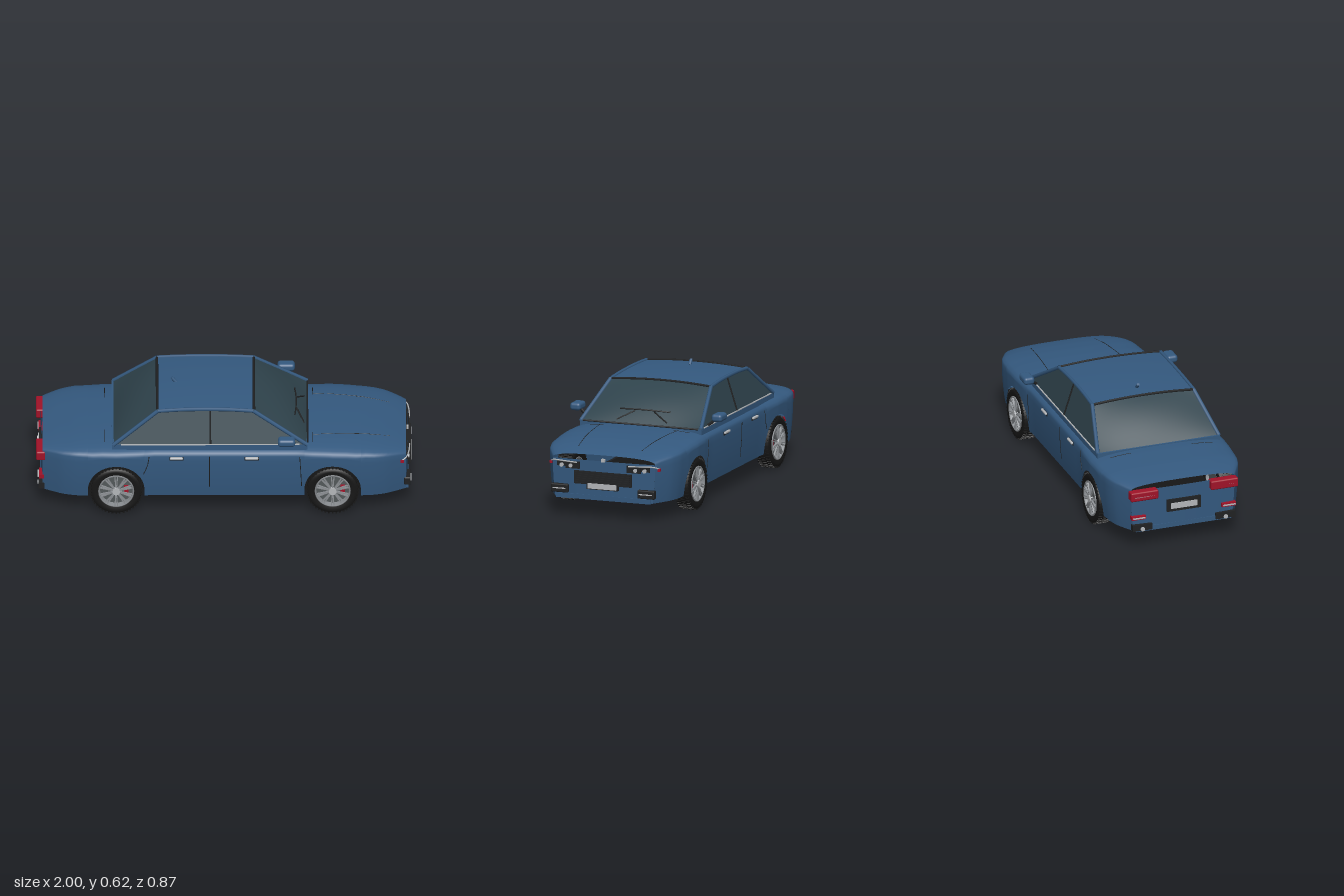
import * as THREE from 'three';
import { mergeGeometries } from 'three/addons/utils/BufferGeometryUtils.js';
import { RoundedBoxGeometry } from 'three/addons/geometries/RoundedBoxGeometry.js';

const mat = (name, color, double) => {
  const m = new THREE.MeshStandardMaterial({ color });
  m.name = name;
  if (double) m.side = THREE.DoubleSide;
  return m;
};
const paint = mat('blue paint', 0x34597f, true);
const glass = mat('tinted glass', 0x2f434c, true);
const rubber = mat('black rubber', 0x161616);
const trim = mat('dark trim', 0x202122);
const chrome = mat('chrome', 0xb4b7ba);
const alloy = mat('alloy', 0x8b8f93);
const disc = mat('brake disc', 0x53585a);
const red = mat('red lamp', 0xa01228);

// Piecewise linear lookup in [x, value] pairs
function lookup(table, x) {
  for (let i = 1; i < table.length; i++) {
    const [x0, a] = table[i - 1], [x1, b] = table[i];
    if (x <= x1) return a + (b - a) * Math.max(0, (x - x0) / (x1 - x0));
  }
  return table[table.length - 1][1];
}

// Surface from a rule p(u, v), with u and v from 0 to 1
function grid(p, nu, nv) {
  const pos = [], idx = [];
  for (let i = 0; i <= nu; i++) for (let j = 0; j <= nv; j++) pos.push(...p(i / nu, j / nv));
  for (let i = 0; i < nu; i++) for (let j = 0; j < nv; j++) {
    const a = i * (nv + 1) + j, b = a + nv + 1;
    idx.push(a, b, a + 1, b, b + 1, a + 1);
  }
  const g = new THREE.BufferGeometry();
  g.setAttribute('position', new THREE.Float32BufferAttribute(pos, 3));
  g.setIndex(idx);
  g.computeVertexNormals();
  return g;
}

// Body shape rules: width, height, rounded shoulder
const widthAt = x => lookup([[0, 0.37], [0.38, 0.37], [0.46, 0.378], [0.575, 0.384], [0.7, 0.38],
  [0.8, 0.37], [0.86, 0.353], [0.92, 0.32], [0.965, 0.293]], Math.abs(x));
const topAt = x => lookup([[-0.965, 0.365], [-0.9, 0.378], [-0.8, 0.391], [-0.65, 0.4], [0.55, 0.4],
  [0.65, 0.396], [0.75, 0.387], [0.85, 0.371], [0.93, 0.352], [0.965, 0.34]], x);
const dropAt = x => lookup([[0, 0.055], [0.7, 0.055], [0.965, 0.03]], Math.abs(x));
const shoulderAt = x => topAt(x) - dropAt(x);
const sideZ = (x, y) => {
  const s = shoulderAt(x);
  return widthAt(x) * (1 - 0.05 * Math.max(0, (s - y) / (s - 0.1)) ** 2);
};
const topY = (x, z) => shoulderAt(x) + dropAt(x) * (1 - Math.abs(z / widthAt(x)) ** 2.6) ** (1 / 2.6);
const ARCH = 0.15, AXLE = 0.575, HUB = 0.14, FLOOR = 0.1;

function stations() {
  const list = [];
  const plain = (a, b, n) => { for (let i = 0; i <= n; i++) list.push([a + (b - a) * i / n, FLOOR]); };
  const arch = c => {
    for (let i = 0; i <= 24; i++) {
      const t = Math.PI * i / 24;
      list.push([c - ARCH * Math.cos(t), HUB + ARCH * Math.sin(t)]);
    }
  };
  plain(-0.965, -AXLE - ARCH, 10);
  arch(-AXLE);
  plain(-AXLE + ARCH, AXLE - ARCH, 16);
  arch(AXLE);
  plain(AXLE + ARCH, 0.965, 10);
  return list;
}

export function createModel() {
  const car = new THREE.Group();
  car.name = 'sedan';
  const add = (name, geo, material, x = 0, y = 0, z = 0, parent = car) => {
    const m = new THREE.Mesh(geo, material);
    m.name = name;
    m.position.set(x, y, z);
    parent.add(m);
    return m;
  };
  const box = (name, material, x, y, z, sx, sy, sz) => add(name, new THREE.BoxGeometry(sx, sy, sz), material, x, y, z);
  const tube = (name, material, pts, r) => add(name, new THREE.TubeGeometry(
    new THREE.CatmullRomCurve3(pts.map(p => new THREE.Vector3(...p))), 16, r, 6), material);

  // Body shell with open wheel arches
  const st = stations();
  add('bodyShell', grid((u, v) => {
    const [x, bot] = st[Math.round(u * (st.length - 1))];
    const t = v * 2 - 1, a = Math.abs(t), s = Math.sign(t), sh = shoulderAt(x);
    if (a > 0.5) {
      const y = bot + (sh - bot) * (1 - a) * 2;
      return [x, y, s * sideZ(x, y)];
    }
    const z = s * widthAt(x) * Math.sin(a * Math.PI) ** (2 / 2.6);
    return [x, sh + dropAt(x) * Math.max(0, Math.cos(a * Math.PI)) ** (2 / 2.6), z];
  }, st.length - 1, 32), paint);

  // Nose and tail panels, slightly bowed
  for (const s of [1, -1]) add(s > 0 ? 'nosePanel' : 'tailPanel', grid((u, v) => {
    const k = u * 2 - 1, y = FLOOR + v * (shoulderAt(s * 0.965) - FLOOR);
    return [s * (0.965 + 0.012 * (1 - k * k)), y, k * sideZ(s * 0.965, y)];
  }, 12, 4), paint);
  box('floor', rubber, 0, 0.112, 0, 1.74, 0.028, 0.58);
  box('beltBase', paint, -0.078, 0.382, 0, 1.04, 0.044, 0.694);

  // Cabin: roof, front and rear glass
  add('roof', grid((u, v) => {
    const x = -0.355 + 0.51 * u, k = v * 2 - 1, s = (x + 0.1) / 0.255;
    return [x, 0.577 + 0.009 * (1 - s * s) + 0.013 * (1 - k * k), k * 0.287];
  }, 12, 12), paint);
  const screen = (xb, xt, bulge) => grid((u, v) => {
    const k = u * 2 - 1, b = bulge * 4 * v * (1 - v) * (1 - k * k);
    return [xb + (xt - xb) * v + Math.sign(xb) * b * 0.5,
      0.402 + 0.175 * v + 0.013 * v * (1 - k * k) + b * 0.86, k * (0.342 - 0.055 * v)];
  }, 12, 8);
  add('windshield', screen(0.44, 0.155, 0.026), glass);
  add('rearWindow', screen(-0.59, -0.355, 0.018), glass);
  for (const x of [0.157, -0.357]) tube('roofEdgeTrim', trim,
    [-0.28, -0.14, 0, 0.14, 0.28].map(z => [x, 0.578 + 0.013 * (1 - (z / 0.287) ** 2), z]), 0.007);
  tube('windshieldBaseTrim', trim, [[0.442, 0.404, -0.33], [0.442, 0.404, 0], [0.442, 0.404, 0.33]], 0.005);

  // Wipers
  for (const s of [1, -1]) {
    tube('wiperBlade', trim, [[0.383, 0.474, 0], [0.38, 0.472, s * 0.08], [0.374, 0.469, s * 0.145]], 0.004);
    tube('wiperArm', trim, [[0.383, 0.466, s * 0.055], [0.405, 0.443, s * 0.1], [0.425, 0.42, s * 0.145]], 0.004);
  }

  const sideTop = [[-0.59, 0.402], [-0.355, 0.577], [-0.23, 0.584], [-0.1, 0.586], [0.03, 0.584], [0.155, 0.577], [0.44, 0.402]];
  const cabinZ = y => 0.343 - (y - 0.402) * 0.32;
  for (const s of [1, -1]) {
    // Side glass and pillars
    add('sideWindows', grid((u, v) => {
      const x = -0.59 + 1.03 * u, y = 0.402 + (lookup(sideTop, x) - 0.402) * v;
      return [x, y, s * cabinZ(y)];
    }, 60, 2), glass);
    const rail = (a, b) => sideTop.slice(a, b).map(([x, y]) => [x, y, s * cabinZ(y)]);
    tube('rearPillar', paint, rail(0, 2), 0.011);
    tube('roofRail', paint, rail(1, 6), 0.01);
    tube('frontPillar', paint, rail(5, 7), 0.011);
    tube('centrePillar', trim, [[-0.075, 0.405, s * 0.344], [-0.075, 0.58, s * 0.288]], 0.005);
    box('beltStrip', chrome, -0.075, 0.406, s * 0.347, 0.95, 0.005, 0.006);

    // Door seams and handles
    const seam = pts => tube('doorSeam', trim, pts.map(([x, y]) => [x, y, s * sideZ(x, y)]), 0.0022);
    seam([[-0.08, 0.345], [-0.08, 0.25], [-0.08, 0.155]]);
    seam([[-0.4, 0.345], [-0.41, 0.29], [-0.43, 0.24]]);
    seam([[0.4, 0.345], [0.405, 0.26], [0.41, 0.16]]);
    for (const x of [-0.255, 0.145]) {
      add('doorHandle', new RoundedBoxGeometry(0.07, 0.013, 0.014, 2, 0.005), chrome, x, 0.337, s * 0.376);
      box('handleRecess', trim, x, 0.333, s * 0.37, 0.076, 0.02, 0.005);
    }

    // Hood and trunk seams
    const deck = pts => tube('deckSeam', trim, pts.map(([x, z]) => [x, topY(x, z), s * z]), 0.0018);
    deck([[0.47, 0.22], [0.6, 0.209], [0.75, 0.195], [0.88, 0.18]]);
    deck([[0.47, 0.2], [0.47, 0.25], [0.47, 0.29]]);
    deck([[-0.635, 0.17], [-0.635, 0.23], [-0.635, 0.29]]);

    // Door mirror
    add('mirror', new RoundedBoxGeometry(0.092, 0.042, 0.06, 4, 0.016), paint, 0.33, 0.456, s * 0.405);
    tube('mirrorArm', trim, [[0.345, 0.41, s * 0.345], [0.342, 0.422, s * 0.362], [0.338, 0.442, s * 0.385]], 0.008);

    // Headlight cluster
    box('headlightHousing', trim, 0.97, 0.279, s * 0.175, 0.022, 0.038, 0.08);
    box('headlightOuter', trim, 0.963, 0.283, s * 0.235, 0.024, 0.028, 0.06);
    for (const z of [0.185, 0.237]) {
      const lamp = add('headlamp', new THREE.CylinderGeometry(0.011, 0.011, 0.012, 20), chrome, 0.978, 0.275, s * z);
      lamp.rotation.z = Math.PI / 2;
    }
    tube('headlightStrip', chrome, [[0.984, 0.294, s * 0.145], [0.98, 0.298, s * 0.23], [0.967, 0.297, s * 0.29], [0.945, 0.285, s * 0.31]], 0.004);
    box('sideMarker', red, 0.945, 0.281, s * 0.308, 0.02, 0.014, 0.014);

    // Fog lamp pods
    add('fogPod', new RoundedBoxGeometry(0.035, 0.046, 0.097, 2, 0.006), trim, 0.972, 0.149, s * 0.247);
    box('fogStrip', chrome, 0.99, 0.15, s * 0.247, 0.01, 0.005, 0.074);

    // Tail lamp, rear bumper pods and exhaust
    add('tailLamp', new RoundedBoxGeometry(0.05, 0.052, 0.155, 2, 0.008), red, -0.975, 0.309, s * 0.226);
    box('tailLampStrip', chrome, -0.998, 0.306, s * 0.226, 0.004, 0.005, 0.11);
    box('rearPod', trim, -0.972, 0.122, s * 0.235, 0.03, 0.034, 0.11);
    box('rearPodStrip', chrome, -0.989, 0.18, s * 0.255, 0.006, 0.006, 0.07);
    box('rearReflector', red, -0.972, 0.18, s * 0.255, 0.028, 0.02, 0.08);
    const pipe = add('exhaust', new THREE.CylinderGeometry(0.012, 0.012, 0.05, 16), chrome, -0.968, 0.115, s * 0.235);
    pipe.rotation.z = Math.PI / 2;
  }

  // Grille, plates and lower lips
  box('grilleBack', trim, 0.975, 0.216, 0, 0.02, 0.07, 0.328);
  for (let i = 0; i < 6; i++) box('grilleSlat', trim, 0.986, 0.188 + i * 0.0113, 0, 0.012, 0.005, 0.316);
  box('frontPlateFrame', trim, 0.984, 0.176, 0, 0.02, 0.038, 0.178);
  box('frontPlate', chrome, 0.995, 0.176, 0, 0.006, 0.029, 0.164);
  box('hoodLatch', chrome, 0.974, 0.314, 0, 0.012, 0.018, 0.02);
  box('frontLip', paint, 0.955, 0.11, 0, 0.046, 0.026, 0.54);
  box('rearLip', paint, -0.955, 0.11, 0, 0.046, 0.026, 0.54);
  box('rearPlateFrame', trim, -0.978, 0.225, 0, 0.012, 0.07, 0.19);
  box('rearPlate', chrome, -0.986, 0.222, 0, 0.005, 0.032, 0.15);

  // Roof antenna
  const antenna = add('antenna', new THREE.CylinderGeometry(0.008, 0.01, 0.036, 12), paint, -0.268, 0.605, 0);
  antenna.rotation.z = 0.7;

  // Wheels
  const tyrePts = [[0.092, -0.036], [0.115, -0.042], [0.131, -0.038], [0.135, -0.03], [0.135, 0.03], [0.131, 0.038], [0.115, 0.042], [0.092, 0.036]];
  const tyre = new THREE.LatheGeometry(tyrePts.map(p => new THREE.Vector2(...p)), 48).rotateX(Math.PI / 2);
  const treads = [], spokes = [];
  for (let i = 0; i < 44; i++) for (const k of [-1, 0, 1]) {
    const b = new THREE.BoxGeometry(0.008, 0.011, 0.022);
    b.translate(0, 0.1345, k * 0.026);
    treads.push(b.rotateZ((i + (k ? 0 : 0.5)) * Math.PI * 2 / 44));
  }
  for (let i = 0; i < 10; i++) for (const k of [-1, 1]) {
    const b = new THREE.BoxGeometry(0.006, 0.072, 0.01);
    b.translate(0, 0.052, 0.036).rotateZ(k * 0.08 + i * Math.PI / 5);
    spokes.push(b);
  }
  const tread = mergeGeometries(treads), spokeSet = mergeGeometries(spokes);
  const barrel = new THREE.LatheGeometry([[0.088, -0.036], [0.096, -0.036], [0.096, 0.04], [0.091, 0.043], [0.086, 0.038], [0.086, -0.036]]
    .map(p => new THREE.Vector2(...p)), 40).rotateX(Math.PI / 2);
  const drum = (r, d) => new THREE.CylinderGeometry(r, r, d, 32).rotateX(Math.PI / 2);
  for (const x of [-AXLE, AXLE]) for (const s of [1, -1]) {
    const wheel = new THREE.Group();
    wheel.name = x > 0 ? 'frontWheel' : 'rearWheel';
    wheel.position.set(x, HUB, s * 0.342);
    if (s < 0) wheel.rotation.y = Math.PI;
    add('tyre', tyre, rubber, 0, 0, 0, wheel);
    add('tread', tread, rubber, 0, 0, 0, wheel);
    add('rim', barrel, alloy, 0, 0, 0, wheel);
    add('spokes', spokeSet, alloy, 0, 0, 0, wheel);
    add('brakeDisc', drum(0.087, 0.03), disc, 0, 0, -0.005, wheel);
    add('hub', drum(0.02, 0.02), chrome, 0, 0, 0.038, wheel);
    add('caliper', new THREE.BoxGeometry(0.024, 0.044, 0.016), red, s * 0.054, 0, 0.019, wheel);
    car.add(wheel);
  }
  return car;
}
